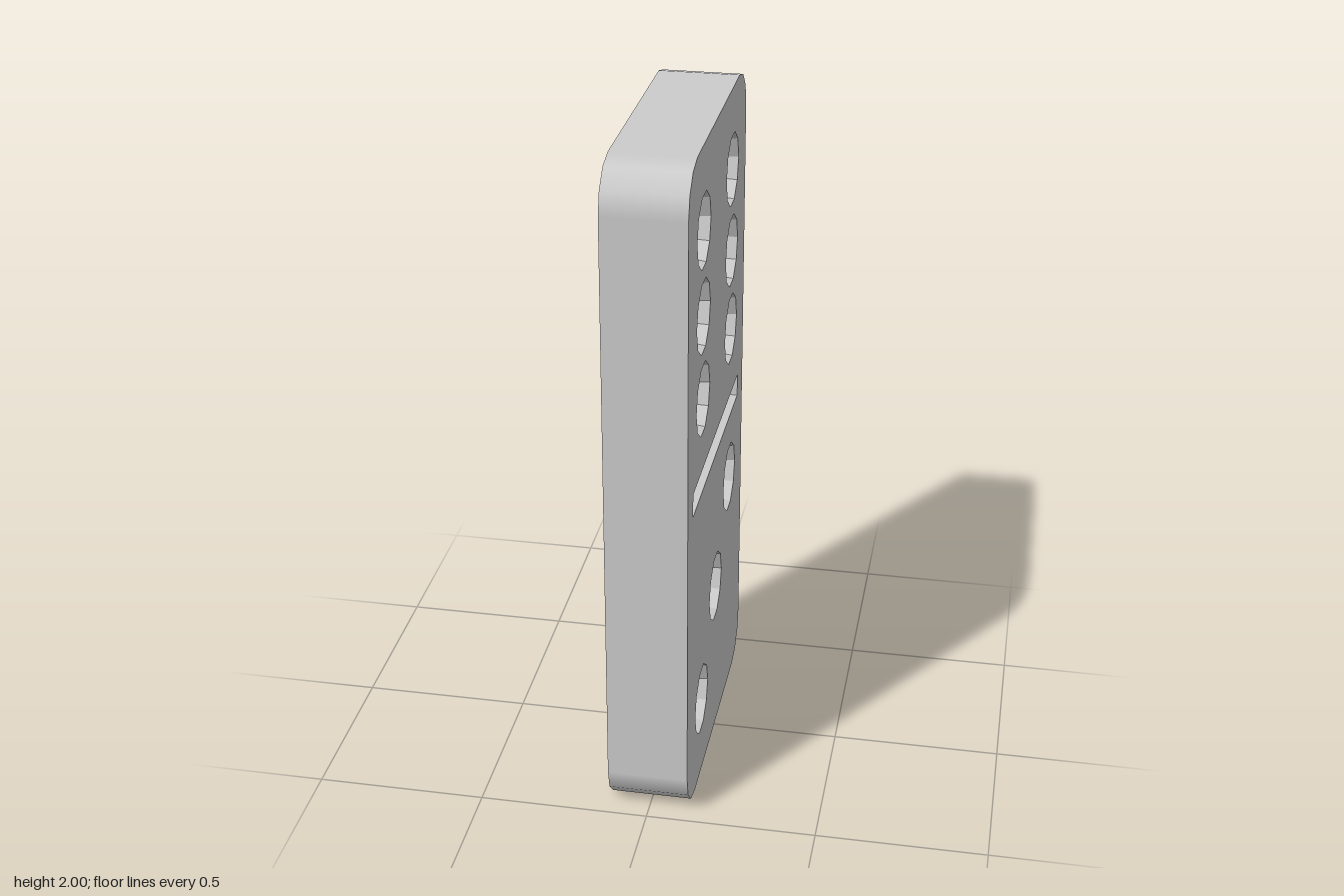
import * as THREE from 'three';

const W = 0.96, H = 2, T = 0.236, CORNER = 0.13, STEPS = 3;
const PIP_R = 0.108, PIP_SIDES = 10;
const GROOVE = { x: -0.005, y: 1, w: 0.78, h: 0.07, depth: 0.035 };
const UPPER_PIPS = [-0.24, 0.24].flatMap(x => [1.755, 1.505, 1.255].map(y => [x, y]));
const LOWER_PIPS = [[0.243, 0.755], [0.003, 0.505], [-0.237, 0.255]];

// Rounded-corner outline, counter-clockwise, with the outward direction at each point
function outline() {
  const pts = [];
  for (let c = 0; c < 4; c++) {
    const sx = c === 0 || c === 3 ? 1 : -1, sy = c < 2 ? 1 : -1;
    for (let k = 0; k <= STEPS; k++) {
      const a = (c + k / STEPS) * Math.PI / 2;
      const n = new THREE.Vector2(Math.cos(a), Math.sin(a));
      const p = new THREE.Vector2(sx * (W / 2 - CORNER), H / 2 + sy * (H / 2 - CORNER));
      pts.push({ p: p.addScaledVector(n, CORNER), n });
    }
  }
  return pts;
}

// Band joining the two faces, smooth round the corners
function rimGeometry(pts) {
  const pos = [], nor = [], idx = [];
  pts.forEach(({ p, n }, i) => {
    pos.push(p.x, p.y, -T / 2, p.x, p.y, T / 2);
    nor.push(n.x, n.y, 0, n.x, n.y, 0);
    const a = 2 * i, b = 2 * ((i + 1) % pts.length);
    idx.push(a, b, b + 1, a, b + 1, a + 1);
  });
  const g = new THREE.BufferGeometry();
  g.setAttribute('position', new THREE.Float32BufferAttribute(pos, 3));
  g.setAttribute('normal', new THREE.Float32BufferAttribute(nor, 3));
  g.setIndex(idx);
  return g;
}

// Faceted bowl opening towards +z; mirroring turns its faces inward
function pipGeometry() {
  const g = new THREE.SphereGeometry(PIP_R, PIP_SIDES, 5, 0, Math.PI * 2, Math.PI / 2, Math.PI / 2)
    .rotateX(Math.PI / 2).scale(-1, 1, 1).toNonIndexed();
  g.computeVertexNormals();
  return g;
}

// Box without its +z side, turned inside out
function grooveGeometry() {
  const g = new THREE.BoxGeometry(GROOVE.w, GROOVE.h, GROOVE.depth);
  const index = Array.from(g.index.array);
  index.splice(24, 6);
  g.setIndex(index);
  g.clearGroups();
  g.scale(-1, 1, 1);
  g.computeVertexNormals();
  return g;
}

export function createModel() {
  const model = new THREE.Group();
  model.name = 'dominoTile';
  const smooth = new THREE.MeshStandardMaterial({ color: 0xcccccc });
  const faceted = new THREE.MeshStandardMaterial({ color: 0xcccccc, flatShading: true });
  const add = (name, geometry, material, x = 0, y = 0, z = 0) => {
    const mesh = new THREE.Mesh(geometry, material);
    mesh.name = name;
    mesh.position.set(x, y, z);
    model.add(mesh);
  };

  const pts = outline();
  const corners = pts.map(o => o.p);
  const pips = [...UPPER_PIPS, ...LOWER_PIPS];

  // Marked face, cut out for the pips and the dividing groove
  const face = new THREE.Shape(corners);
  for (const [x, y] of pips) {
    const ring = [];
    for (let i = 0; i < PIP_SIDES; i++) {
      const a = -i / PIP_SIDES * Math.PI * 2;
      ring.push(new THREE.Vector2(x + PIP_R * Math.cos(a), y + PIP_R * Math.sin(a)));
    }
    face.holes.push(new THREE.Path(ring));
  }
  const { x: gx, y: gy, w, h, depth } = GROOVE;
  face.holes.push(new THREE.Path([[-1, -1], [-1, 1], [1, 1], [1, -1]]
    .map(([i, j]) => new THREE.Vector2(gx + i * w / 2, gy + j * h / 2))));
  add('markedFace', new THREE.ShapeGeometry(face), smooth, 0, 0, T / 2);

  // Plain back and rounded rim
  add('plainBack', new THREE.ShapeGeometry(new THREE.Shape(corners)).rotateY(Math.PI), smooth, 0, 0, -T / 2);
  add('rim', rimGeometry(pts), smooth);

  // Recesses
  const pip = pipGeometry();
  UPPER_PIPS.forEach(([x, y]) => add('upperPip', pip, faceted, x, y, T / 2));
  LOWER_PIPS.forEach(([x, y]) => add('lowerPip', pip, faceted, x, y, T / 2));
  add('dividingGroove', grooveGeometry(), faceted, gx, gy, T / 2 - depth / 2);

  // Turn the marked face to +x
  model.rotation.y = Math.PI / 2;
  return model;
}
